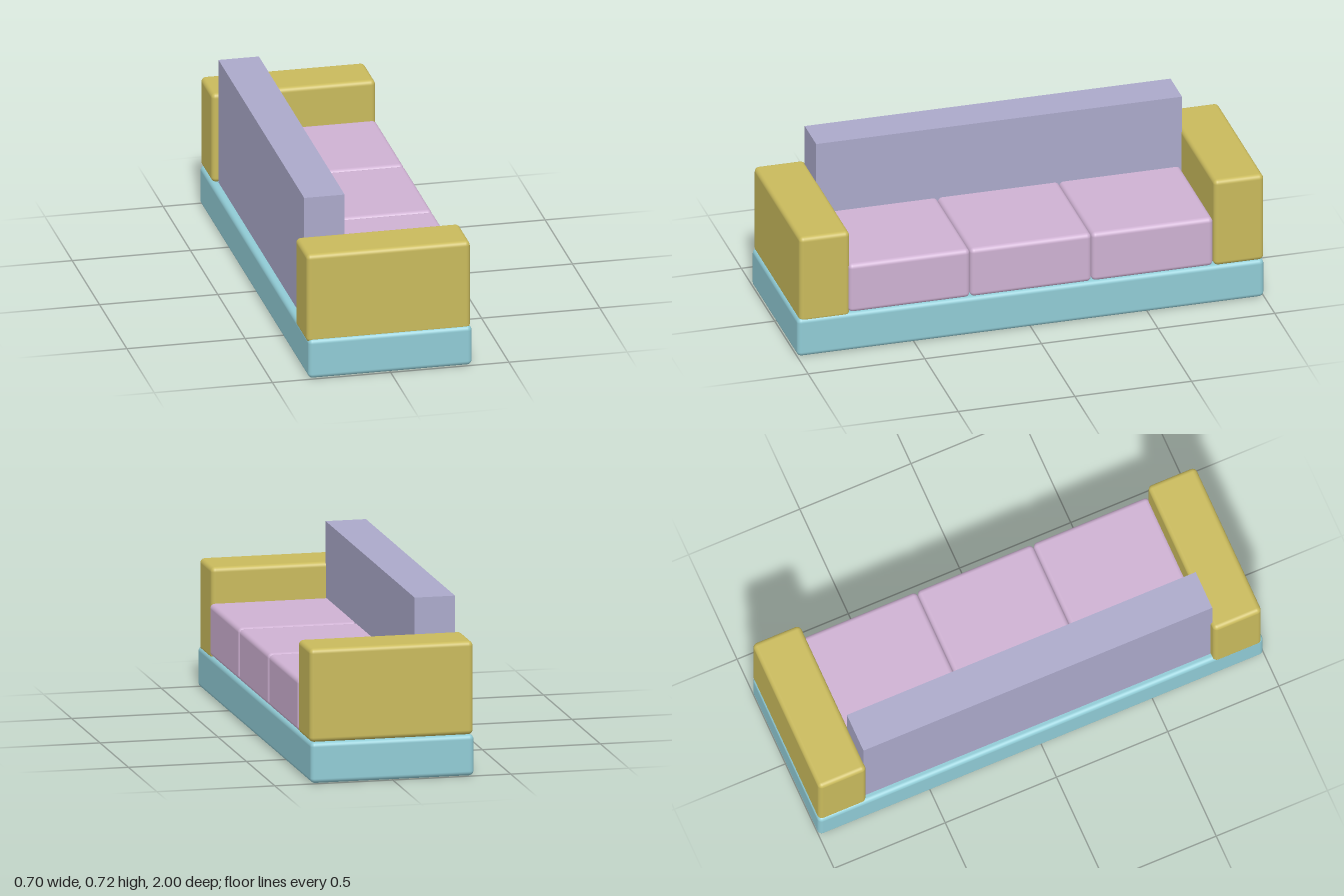
import * as THREE from 'three';
import { RoundedBoxGeometry } from 'three/addons/geometries/RoundedBoxGeometry.js';

function material(name, color) {
  const m = new THREE.MeshStandardMaterial({ color });
  m.name = name;
  return m;
}

// Box given by its minimum and maximum corners; radius 0 keeps sharp edges
function block(name, mat, min, max, radius) {
  const size = max.map((v, i) => v - min[i]);
  const geometry = radius > 0
    ? new RoundedBoxGeometry(...size, 4, radius)
    : new THREE.BoxGeometry(...size);
  const mesh = new THREE.Mesh(geometry, mat);
  mesh.name = name;
  mesh.position.set(...max.map((v, i) => (v + min[i]) / 2));
  return mesh;
}

export function createModel() {
  const teal = material('teal base', 0x90cbd5);
  const gold = material('gold arms', 0xc9ba5c);
  const pink = material('pink cushions', 0xceb1d2);
  const lavender = material('lavender backrest', 0xaba9ca);

  const sofa = new THREE.Group();
  sofa.name = 'sofa';

  // Base plinth
  sofa.add(block('base', teal, [-0.346, 0, -1], [0.346, 0.173, 1], 0.02));

  // Arms, slightly different in height and offset
  sofa.add(block('frontArm', gold, [-0.351, 0.155, 0.774], [0.341, 0.545, 0.99], 0.02));
  sofa.add(block('rearArm', gold, [-0.343, 0.173, -0.998], [0.35, 0.566, -0.784], 0.02));

  // Three seat cushions in a row
  const pitch = 0.521;
  for (let i = 0; i < 3; i++) {
    const z = (i - 1) * pitch;
    sofa.add(block('seatCushion' + (i + 1), pink,
      [-0.17, 0.175, z - 0.26], [0.349, 0.396, z + 0.26], 0.02));
  }

  // Sharp-edged backrest
  sofa.add(block('backrest', lavender, [-0.315, 0.165, -0.787], [-0.144, 0.717, 0.781], 0));

  return sofa;
}
